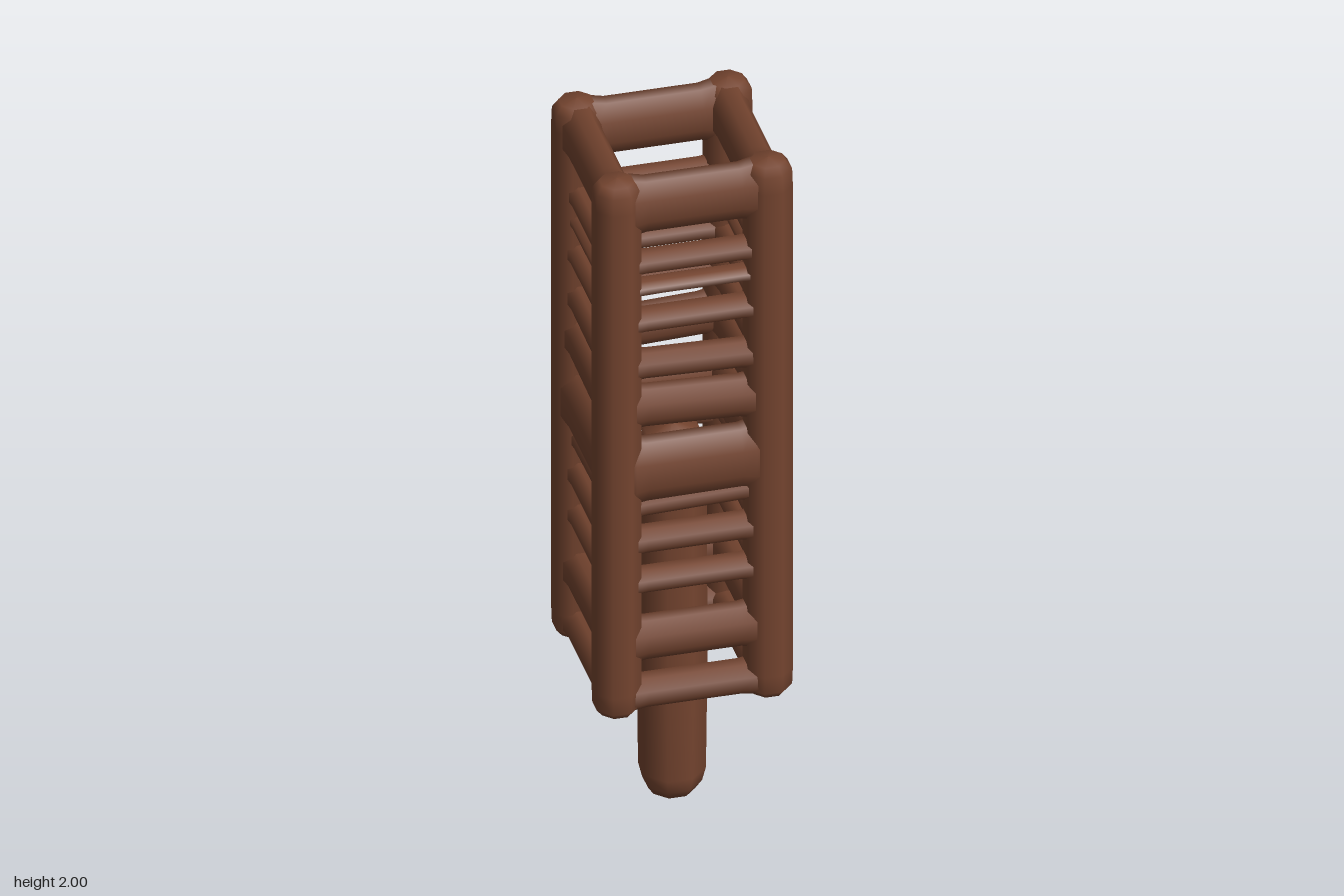
import * as THREE from 'three';

// Eight-sided smooth bar along y with softened ends; points are [radius, y]
function bar(points) {
  const g = new THREE.LatheGeometry(points.map(([r, y]) => new THREE.Vector2(r, y)), 8);
  g.rotateY(Math.PI / 8);
  return g;
}

export function createModel() {
  const model = new THREE.Group();
  model.name = 'cageTower';
  const brown = new THREE.MeshStandardMaterial({ color: 0x74442f });
  brown.name = 'brown';

  const add = (geometry, name, parent = model) => {
    const mesh = new THREE.Mesh(geometry, brown);
    mesh.name = name;
    parent.add(mesh);
    return mesh;
  };

  // Central rod: sticks out below and ends behind the widest band
  add(bar([[0, 0], [0.06, 0.004], [0.078, 0.03], [0.088, 0.07], [0.092, 0.4],
    [0.09, 1.02], [0.075, 1.09], [0, 1.11]]), 'centralRod');

  // Four corner posts
  const post = bar([[0, 0.388], [0.046, 0.39], [0.063, 0.41], [0.065, 0.46],
    [0.065, 1.92], [0.063, 1.97], [0.046, 1.993], [0, 2]]);
  for (const x of [-0.201, 0.201])
    for (const z of [-0.201, 0.201])
      add(post, 'cornerPost').position.set(x, 0, z);

  // Crossbars on each side: [bottom, top, depth, tilt]
  const crossbars = [
    [0.395, 0.48, 0.09, 0], [0.54, 0.655, 0.09, 0], [0.74, 0.805, 0.075, 0],
    [0.86, 0.93, 0.075, 0], [0.975, 1.035, 0.06, 0.03], [1.02, 1.195, 0.1, 0],
    [1.24, 1.35, 0.085, -0.04], [1.385, 1.46, 0.075, -0.03], [1.53, 1.59, 0.075, 0],
    [1.64, 1.68, 0.065, 0], [1.705, 1.765, 0.07, 0], [1.835, 1.985, 0.092, 0],
  ];
  // Unit-thick bar, flared a little where it meets the posts
  const flat = 0.5 / Math.cos(Math.PI / 8);
  const unit = bar([[0, -0.2], [flat * 1.1, -0.2], [flat * 1.1, -0.16], [flat, -0.125],
    [flat, 0.125], [flat * 1.1, 0.16], [flat * 1.1, 0.2], [0, 0.2]]);
  unit.rotateZ(Math.PI / 2);

  for (let side = 0; side < 4; side++) {
    const panel = new THREE.Group();
    panel.name = 'sidePanel';
    panel.rotation.y = side * Math.PI / 2;
    for (const [low, high, depth, tilt] of crossbars) {
      const mesh = add(unit, 'crossbar', panel);
      mesh.scale.set(1, high - low, depth);
      mesh.position.set(0, (low + high) / 2, 0.197);
      mesh.rotation.z = tilt;
    }
    model.add(panel);
  }
  return model;
}
